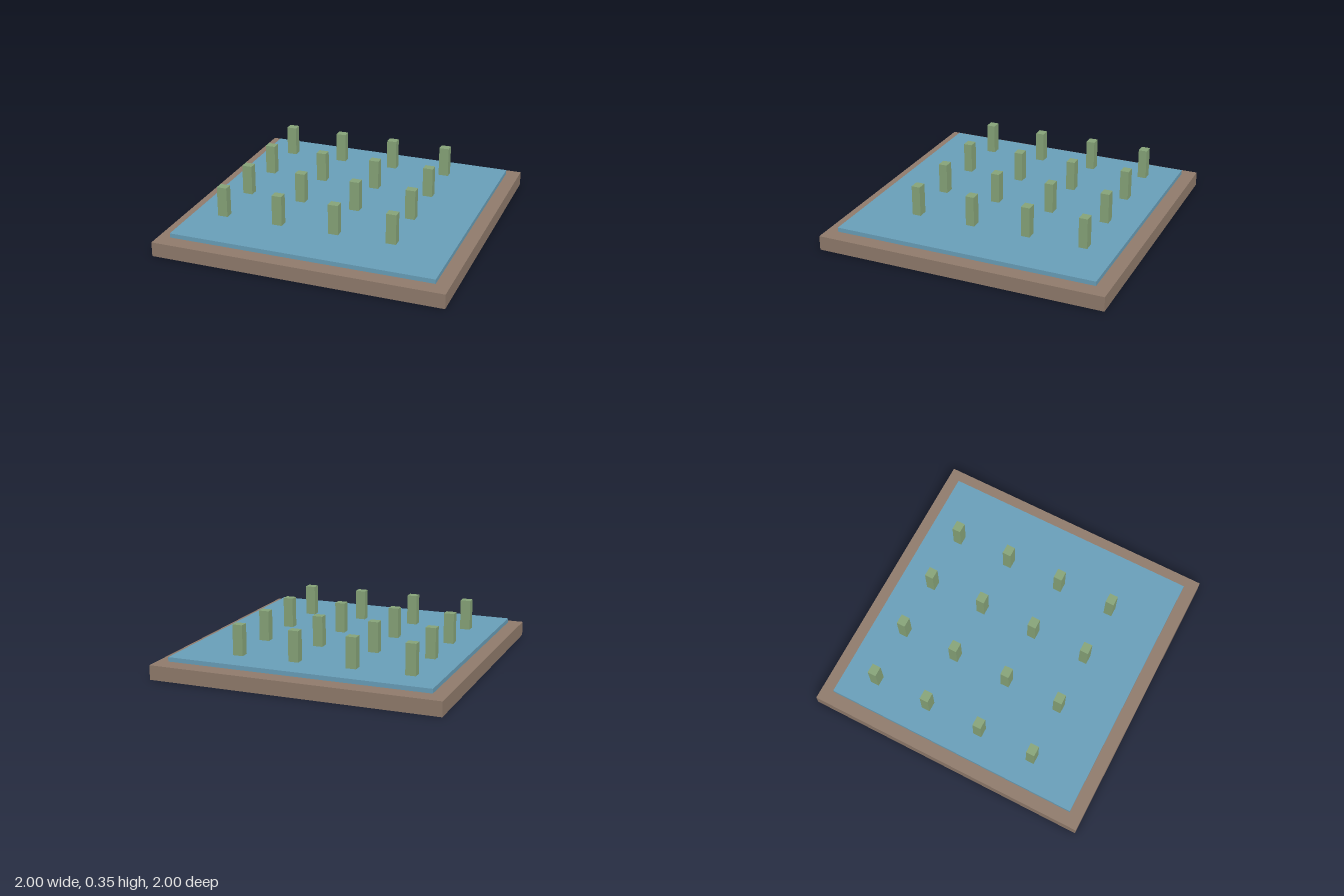
import * as THREE from 'three';

const material = (color) => new THREE.MeshStandardMaterial({ color });

// Box whose underside sits at height y
function block(name, [w, h, d], [x, y, z], mat) {
  const mesh = new THREE.Mesh(new THREE.BoxGeometry(w, h, d), mat);
  mesh.name = name;
  mesh.position.set(x, y + h / 2, z);
  return mesh;
}

export function createModel() {
  const model = new THREE.Group();
  model.name = 'plantedPool';

  // Ground slab and the thin water sheet just above it
  model.add(block('groundSlab', [2, 0.1, 2], [0, 0, 0], material(0x8f7a6b)));
  model.add(block('waterSheet', [1.82, 0.03, 1.82], [0, 0.11, 0], material(0x689eb8)));

  // Four by four grid of upright stalks
  const stalks = new THREE.Group();
  stalks.name = 'stalks';
  const green = material(0x86a378);
  for (let row = 0; row < 4; row++) {
    for (let col = 0; col < 4; col++) {
      const position = [-0.7 + col * 0.4, 0.14, -0.68 + row * 0.4];
      stalks.add(block('stalk', [0.07, 0.21, 0.06], position, green));
    }
  }
  model.add(stalks);
  return model;
}
